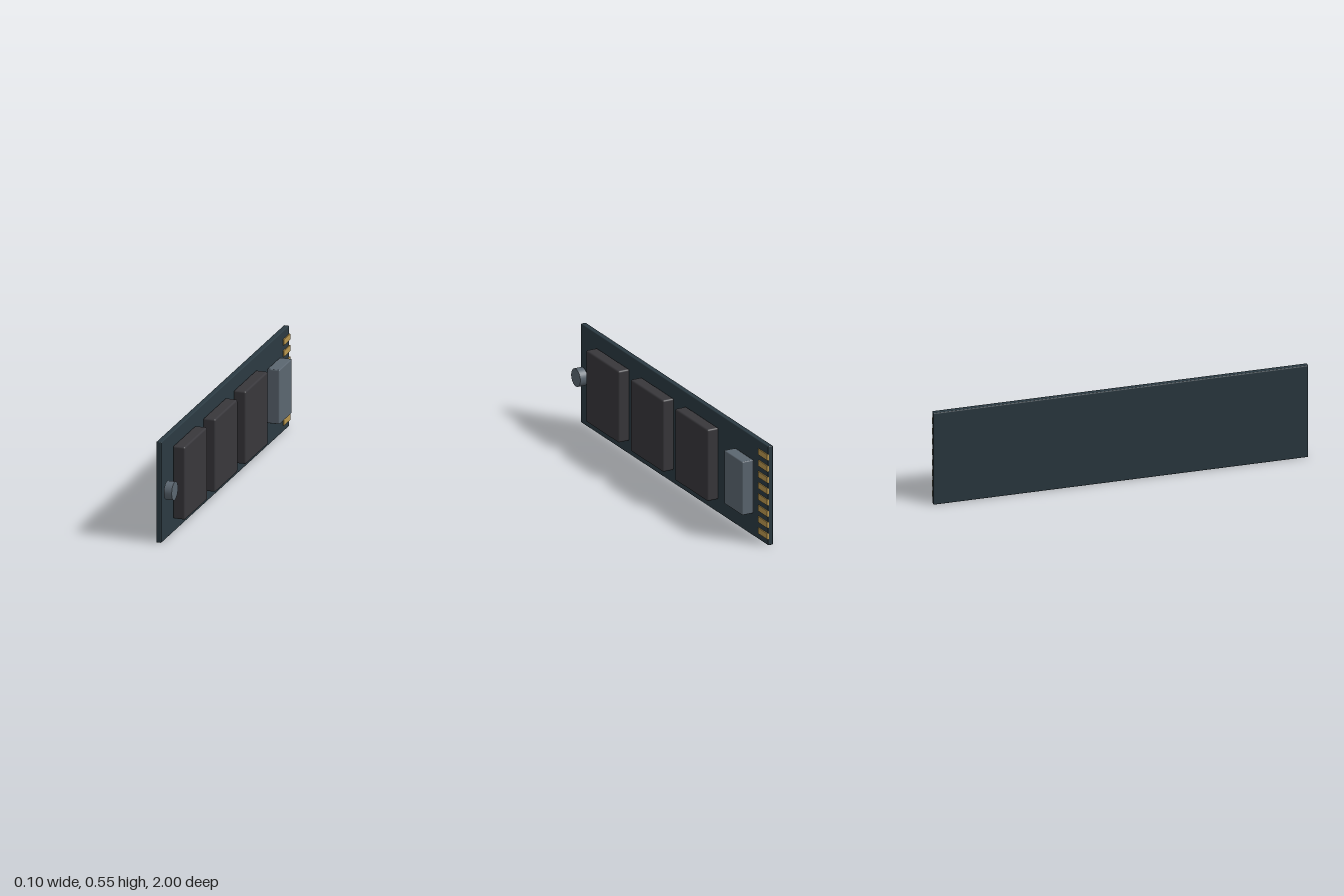
import * as THREE from 'three';
import { RoundedBoxGeometry } from 'three/addons/geometries/RoundedBoxGeometry.js';

const material = (color) => new THREE.MeshStandardMaterial({ color });

export function createModel() {
  const model = new THREE.Group();
  model.name = 'memoryBoard';

  const boardColor = material(0x2b3a42);
  const chipColor = material(0x38373b);
  const metalColor = material(0x5b6670);
  const goldColor = material(0xb8964e);

  const add = (name, geometry, mat, x, y, z) => {
    const mesh = new THREE.Mesh(geometry, mat);
    mesh.name = name;
    mesh.position.set(x, y, z);
    model.add(mesh);
    return mesh;
  };

  // Upright circuit board
  add('circuitBoard', new RoundedBoxGeometry(0.029, 0.55, 2, 2, 0.005), boardColor, -0.0355, 0.275, 0);

  // Three memory chips along the board
  const chip = new RoundedBoxGeometry(0.068, 0.398, 0.348, 3, 0.01);
  [0.65, 0.175, -0.3].forEach((z, i) => add(`memoryChip${i + 1}`, chip, chipColor, 0.014, 0.276, z));

  // Smaller controller chip beside the connector
  add('controllerChip', new RoundedBoxGeometry(0.068, 0.297, 0.196, 3, 0.006), metalColor, 0.014, 0.276, -0.749);

  // Row of gold edge contacts
  const contact = new THREE.BoxGeometry(0.009, 0.032, 0.1);
  for (let i = 0; i < 8; i++) {
    add(`edgeContact${i + 1}`, contact, goldColor, -0.0195, 0.051 + i * 0.0626, -0.95);
  }

  // Mounting screw head, axis across the board
  const screw = add('mountingScrew', new THREE.CylinderGeometry(0.049, 0.049, 0.043, 32), metalColor, 0.0145, 0.276, 0.951);
  screw.rotation.z = Math.PI / 2;

  return model;
}
